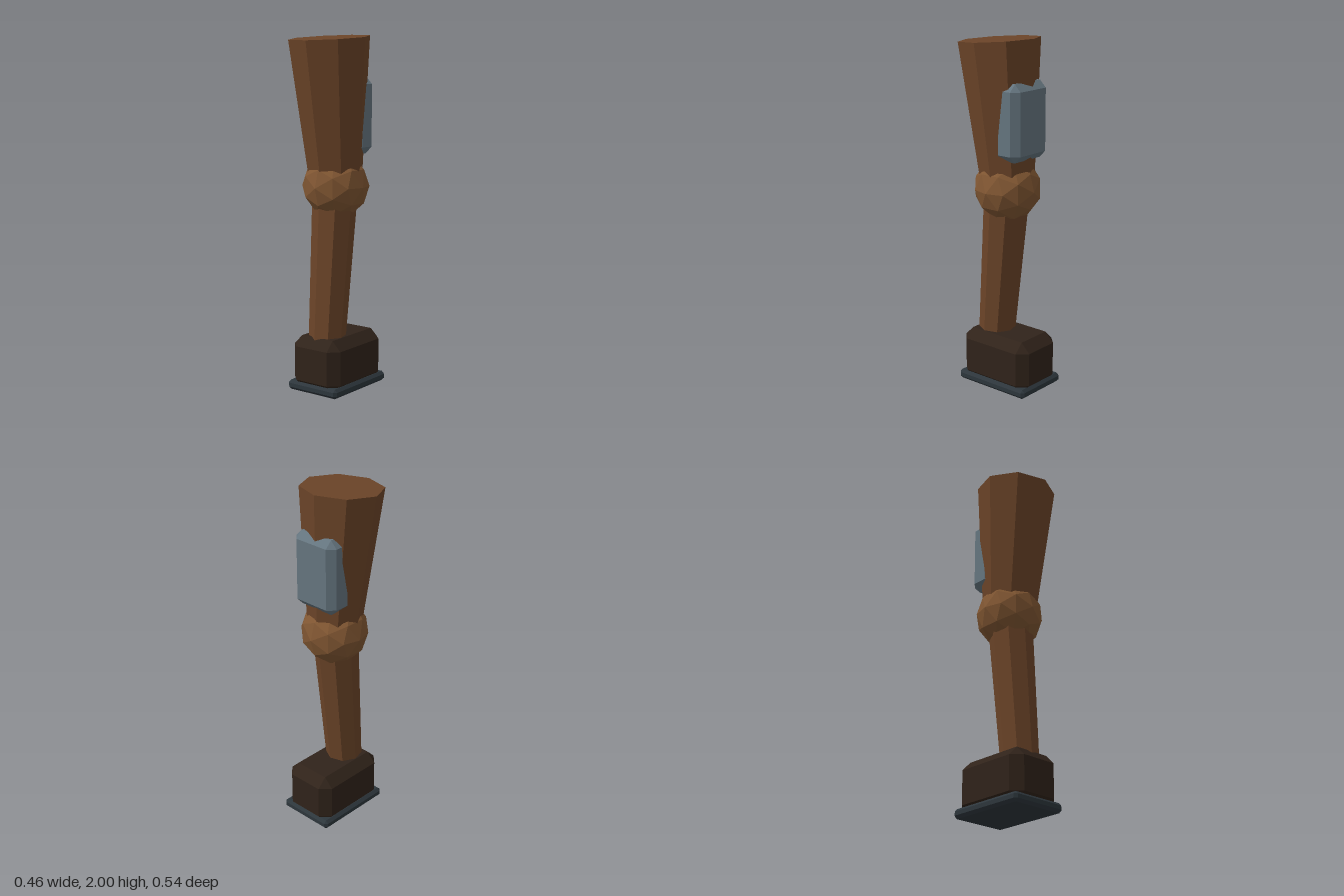
import * as THREE from 'three';
import { ConvexGeometry } from 'three/addons/geometries/ConvexGeometry.js';

function addPart(group, name, geometry, color) {
  const material = new THREE.MeshStandardMaterial({ color, flatShading: true });
  const mesh = new THREE.Mesh(geometry, material);
  mesh.name = name;
  group.add(mesh);
  return mesh;
}

// Box with every edge cut by the same chamfer
function chamferedBox(w, h, d, c) {
  const points = [];
  for (const sx of [-1, 1]) for (const sy of [-1, 1]) for (const sz of [-1, 1]) {
    const x = w / 2, y = h / 2, z = d / 2;
    points.push(
      new THREE.Vector3(sx * x, sy * (y - c), sz * (z - c)),
      new THREE.Vector3(sx * (x - c), sy * y, sz * (z - c)),
      new THREE.Vector3(sx * (x - c), sy * (y - c), sz * z)
    );
  }
  return new ConvexGeometry(points);
}

// Eight-sided tapered limb between two [y, z] points, turned about its axis
function addLimb(group, name, color, top, bottom, rTop, rBottom, turn) {
  const dy = top[0] - bottom[0], dz = top[1] - bottom[1];
  const geometry = new THREE.CylinderGeometry(rTop, rBottom, Math.hypot(dy, dz), 8);
  geometry.rotateY(turn);
  const mesh = addPart(group, name, geometry, color);
  mesh.rotation.x = Math.atan2(dz, dy);
  mesh.position.set(0, (top[0] + bottom[0]) / 2, (top[1] + bottom[1]) / 2);
}

export function createModel() {
  const leg = new THREE.Group();
  leg.name = 'leg';

  // Limb segments
  addLimb(leg, 'thigh', 0x6b4428, [1.984, 0.042], [1.17, -0.018], 0.229, 0.149, 0.07);
  addLimb(leg, 'shin', 0x6b4428, [1.17, -0.013], [0.22, 0.07], 0.129, 0.103, -0.1);

  // Faceted knee joint
  const knee = addPart(leg, 'knee', new THREE.IcosahedronGeometry(0.19, 1), 0x805632);
  knee.position.set(0, 1.163, -0.016);

  // Boot block and its sole plate
  const boot = addPart(leg, 'boot', chamferedBox(0.326, 0.305, 0.475, 0.055), 0x30231a);
  boot.position.set(0, 0.1625, -0.028);
  const sole = addPart(leg, 'sole', chamferedBox(0.346, 0.055, 0.484, 0.016), 0x2d363c);
  sole.position.set(0, 0.0275, -0.029);

  // Armour plate set into the back of the thigh
  const plate = addPart(leg, 'armourPlate', chamferedBox(0.294, 0.43, 0.165, 0.04), 0x65757f);
  plate.position.set(0, 1.555, -0.1125);

  return leg;
}
